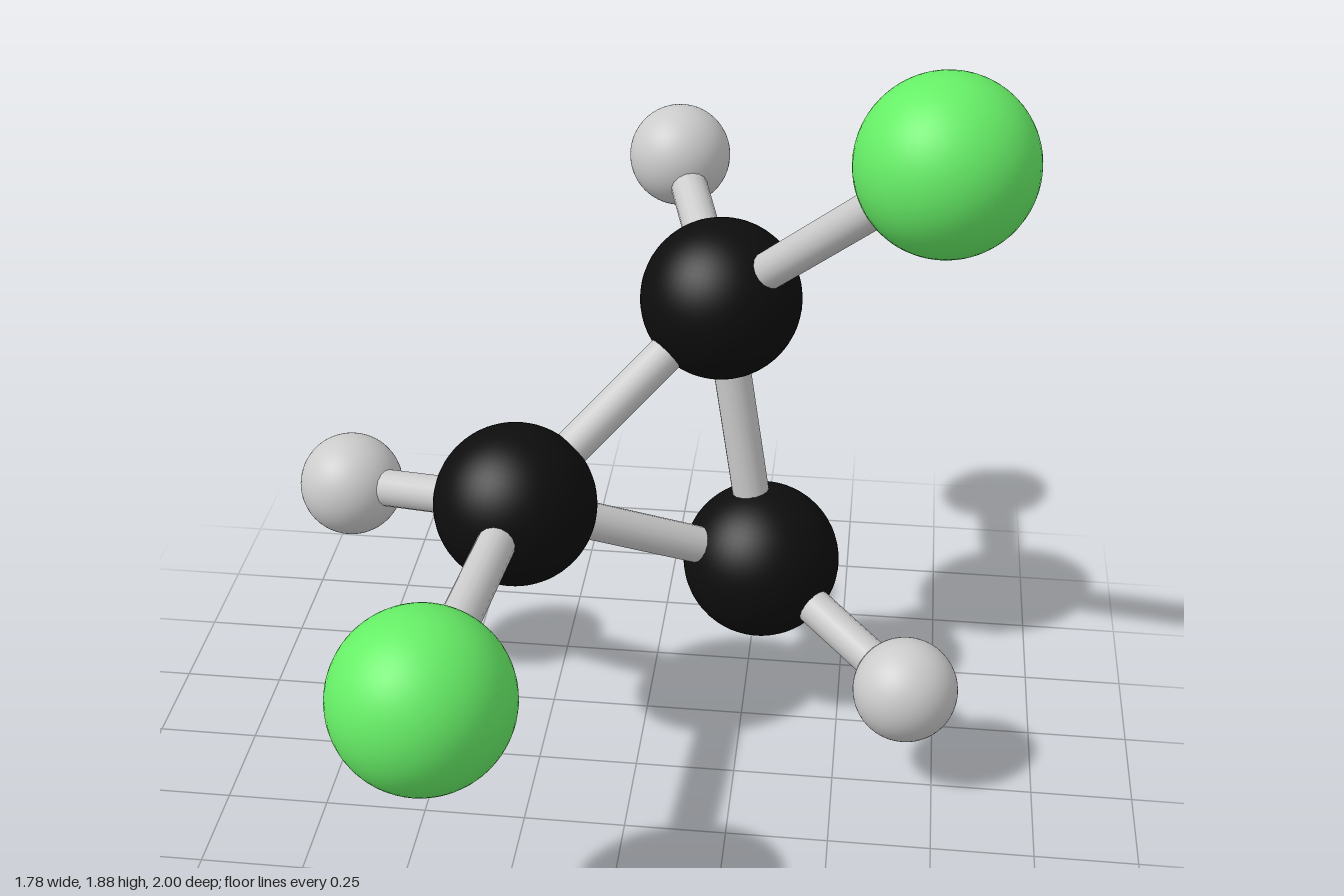
import * as THREE from 'three';

const BOND_RADIUS = 0.047;

// Atom kinds: radius and colour
const KINDS = {
  carbon: { radius: 0.2, color: 0x0d0d0d },
  chlorine: { radius: 0.207, color: 0x66ee66 },
  hydrogen: { radius: 0.13, color: 0xcccccc },
};

// Atom centres
const ATOMS = {
  carbonTop: ['carbon', 0.162, 1.139, -0.407],
  carbonFront: ['carbon', -0.302, 0.733, -0.043],
  carbonLow: ['carbon', 0.284, 0.433, -0.34],
  chlorineTop: ['chlorine', 0.679, 1.674, -0.03],
  chlorineFront: ['chlorine', -0.366, 0.744, 0.792],
  hydrogenTop: ['hydrogen', 0.012, 1.323, -0.868],
  hydrogenSide: ['hydrogen', -0.764, 0.63, -0.263],
  hydrogenLowFront: ['hydrogen', 0.669, 0.276, -0.024],
  hydrogenLowBack: ['hydrogen', 0.219, 0.134, -0.762],
};

// The carbon ring, then the atoms hanging from it
const BONDS = [
  ['carbonTop', 'carbonFront'],
  ['carbonFront', 'carbonLow'],
  ['carbonLow', 'carbonTop'],
  ['carbonTop', 'chlorineTop'],
  ['carbonTop', 'hydrogenTop'],
  ['carbonFront', 'chlorineFront'],
  ['carbonFront', 'hydrogenSide'],
  ['carbonLow', 'hydrogenLowFront'],
  ['carbonLow', 'hydrogenLowBack'],
];

// Cylinder running from one point to another
function makeBond(from, to, material) {
  const axis = to.clone().sub(from);
  const geometry = new THREE.CylinderGeometry(BOND_RADIUS, BOND_RADIUS, axis.length(), 16);
  const bond = new THREE.Mesh(geometry, material);
  bond.position.copy(from).add(to).multiplyScalar(0.5);
  bond.quaternion.setFromUnitVectors(new THREE.Vector3(0, 1, 0), axis.normalize());
  return bond;
}

export function createModel() {
  const model = new THREE.Group();
  model.name = 'molecule';

  // One shared sphere and material per kind of atom
  const looks = {};
  for (const [kind, { radius, color }] of Object.entries(KINDS)) {
    looks[kind] = {
      geometry: new THREE.SphereGeometry(radius, 48, 32),
      material: new THREE.MeshStandardMaterial({ color }),
    };
  }

  // Atoms
  const centres = {};
  for (const [name, [kind, x, y, z]] of Object.entries(ATOMS)) {
    const atom = new THREE.Mesh(looks[kind].geometry, looks[kind].material);
    atom.name = name;
    atom.position.set(x, y, z);
    centres[name] = atom.position;
    model.add(atom);
  }

  // Bonds
  const bondMaterial = new THREE.MeshStandardMaterial({ color: 0xcccccc });
  for (const [a, b] of BONDS) {
    const bond = makeBond(centres[a], centres[b], bondMaterial);
    bond.name = `bond ${a} to ${b}`;
    model.add(bond);
  }

  return model;
}
